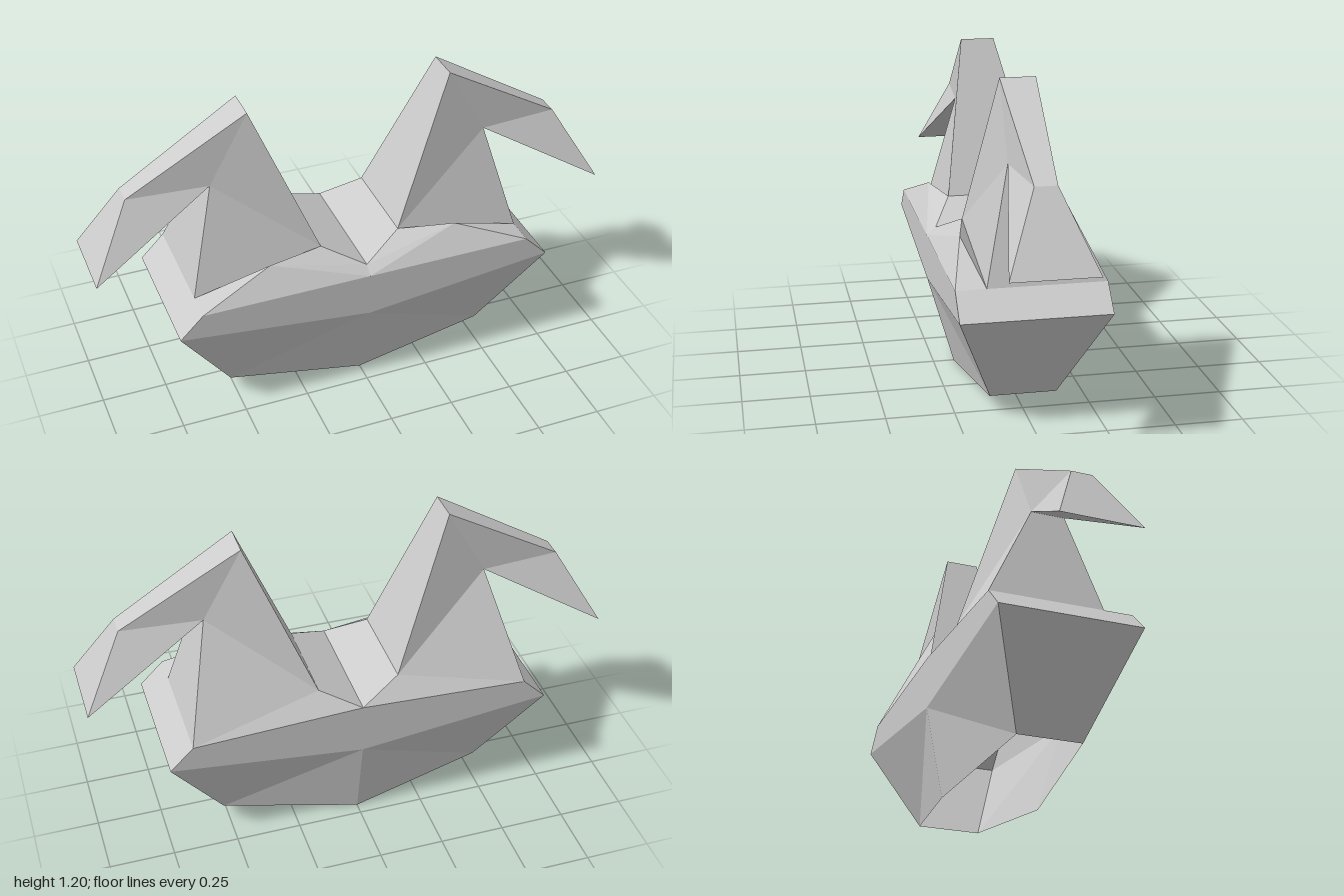
import * as THREE from 'three';

const material = new THREE.MeshStandardMaterial({ color: 0xcccccc, flatShading: true, side: THREE.DoubleSide });

// Corner points of the left half; f = front, b = back
const P = {
  midF: [0, 0.345, 0.27], midB: [0, 0.345, -0.27],
  keelF: [0, 0, 0.17], keelB: [0, 0, -0.205],
  baseF: [0.52, 0.065, 0.125], baseB: [0.52, 0.065, -0.12],
  sideF: [0.74, 0.43, 0.27], sideB: [0.74, 0.43, -0.27],
  rimF: [0.65, 0.52, 0.27], rimB: [0.65, 0.52, -0.27],
  rimMid: [0, 0.52, 0.27],
  dipF: [0, 0.55, 0.235], dipB: [0, 0.55, -0.27],
  ledge: [0.37, 0.625, 0.205],
  innerF: [0.155, 0.625, 0.16], innerB: [0.155, 0.625, -0.21],
  footF: [0.65, 0.52, 0.16],
  peakF: [0.39, 1.2, 0.065], peakB: [0.39, 1.2, -0.065],
  elbowF: [0.54, 0.93, 0.065], elbowB: [0.54, 0.93, -0.065],
  bendF: [0.845, 0.93, 0.04], bendB: [0.845, 0.93, -0.04],
  tipF: [1, 0.66, 0.155], tipB: [1, 0.66, -0.155],
};

// Faces as strings of corner names, counter-clockwise from outside
const hullFaces = [
  'midF sideF rimF rimMid', 'midF baseF sideF', 'midF keelF baseF',
  'midB dipB rimB sideB', 'midB sideB baseB', 'midB baseB keelB',
  'dipB innerB rimB',
  'sideF baseF baseB sideB', 'rimF sideF sideB rimB',
  'dipF innerF innerB dipB',
];
const ledgeFaces = [
  'rimMid rimF ledge', 'rimMid ledge dipF', 'dipF ledge innerF',
  'rimF footF ledge', 'innerF ledge footF',
];
const clawFaces = [
  'innerF footF elbowF', 'innerF elbowF peakF', 'peakF elbowF bendF', 'elbowF tipF bendF',
  'innerB elbowB rimB', 'innerB peakB elbowB', 'peakB bendB elbowB', 'elbowB bendB tipB',
  'innerF peakF peakB innerB', 'peakF bendF bendB peakB', 'bendF tipF tipB bendB',
  'elbowF elbowB tipB tipF', 'footF rimB elbowB elbowF',
];

// Fans each face into triangles; side -1 mirrors across x and flips the winding
function facetMesh(name, faces, sides) {
  const positions = [];
  for (const side of sides) {
    for (const face of faces) {
      const corners = face.split(' ').map((key) => [P[key][0] * side, P[key][1], P[key][2]]);
      if (side < 0) corners.reverse();
      for (let i = 1; i < corners.length - 1; i++) {
        positions.push(...corners[0], ...corners[i], ...corners[i + 1]);
      }
    }
  }
  const geometry = new THREE.BufferGeometry();
  geometry.setAttribute('position', new THREE.Float32BufferAttribute(positions, 3));
  geometry.computeVertexNormals();
  const mesh = new THREE.Mesh(geometry, material);
  mesh.name = name;
  return mesh;
}

export function createModel() {
  const model = new THREE.Group();
  model.name = 'clawedShell';
  model.add(
    facetMesh('hull', hullFaces, [1, -1]), // open underneath
    facetMesh('frontLedge', ledgeFaces, [1, -1]),
    facetMesh('leftClaw', clawFaces, [1]),
    facetMesh('rightClaw', clawFaces, [-1]),
  );
  return model;
}
